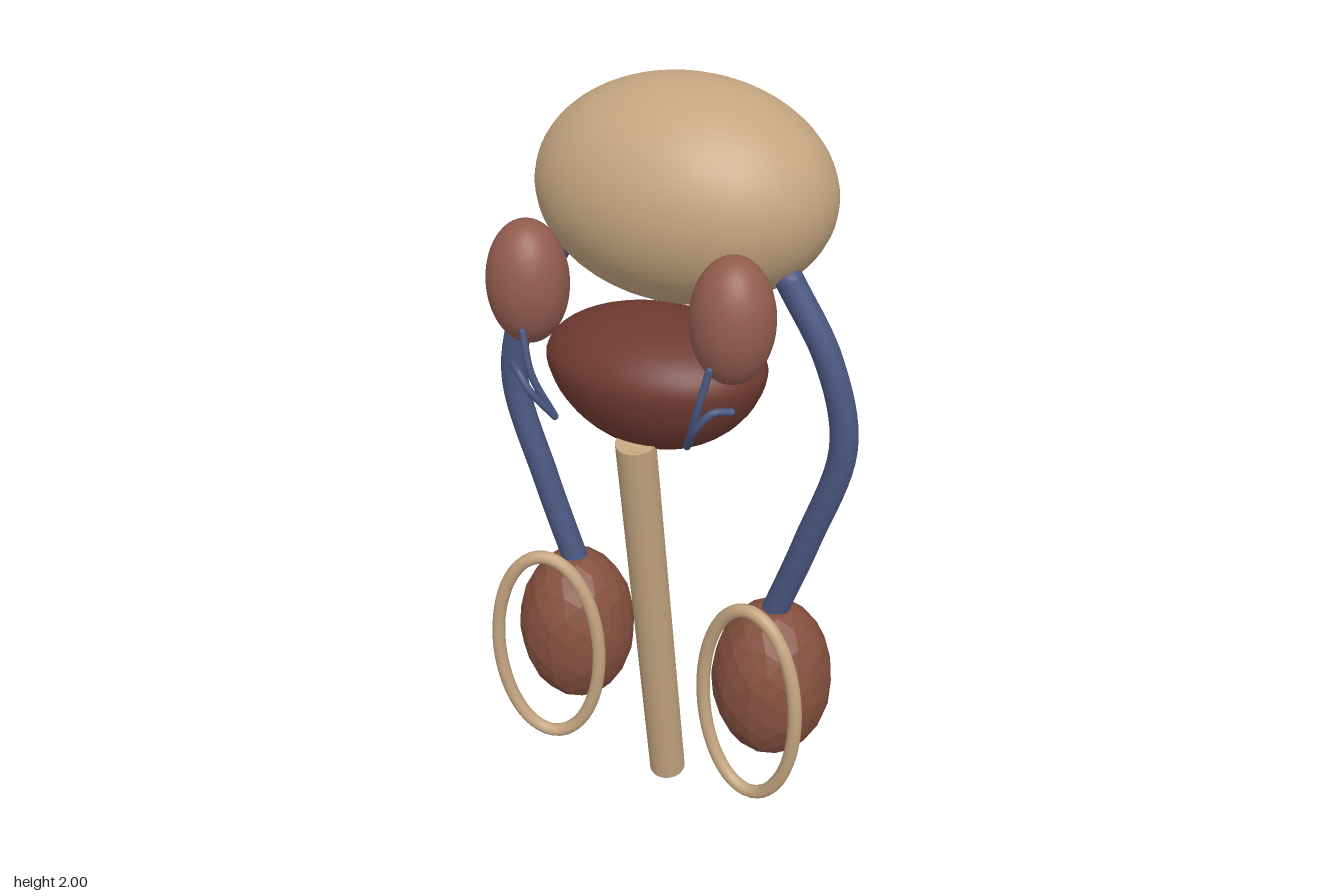
import * as THREE from 'three';

const tan = new THREE.MeshStandardMaterial({ color: 0xc4a580 });
const darkRed = new THREE.MeshStandardMaterial({ color: 0x6f3a30 });
const brown = new THREE.MeshStandardMaterial({ color: 0x85503f, flatShading: true });
const rose = new THREE.MeshStandardMaterial({ color: 0x935c4f });
const blue = new THREE.MeshStandardMaterial({ color: 0x4a5680 });

function add(parent, name, geometry, material, x = 0, y = 0, z = 0) {
  const mesh = new THREE.Mesh(geometry, material);
  mesh.name = name;
  mesh.position.set(x, y, z);
  parent.add(mesh);
  return mesh;
}

const ellipsoid = (rx, ry, rz) => new THREE.SphereGeometry(1, 48, 32).scale(rx, ry, rz);

// Tube through points, closed by a ball at each end
function duct(parent, name, points, radius) {
  const group = new THREE.Group();
  group.name = name;
  const path = new THREE.CatmullRomCurve3(points.map(p => new THREE.Vector3(...p)));
  add(group, name + 'Tube', new THREE.TubeGeometry(path, 32, radius, 14), blue);
  for (const p of [points[0], points[points.length - 1]]) {
    add(group, name + 'End', new THREE.SphereGeometry(radius, 14, 10), blue, ...p);
  }
  parent.add(group);
}

// Faceted, slightly uneven oval
function facetedOval(rx, ry, rz) {
  const g = new THREE.IcosahedronGeometry(1, 3);
  const p = g.attributes.position;
  const v = new THREE.Vector3();
  for (let i = 0; i < p.count; i++) {
    v.fromBufferAttribute(p, i);
    const bump = 1 + 0.012 * Math.sin(9 * v.x + 4 * v.y) * Math.cos(8 * v.z - 5 * v.y);
    p.setXYZ(i, v.x * rx * bump, v.y * ry * bump, v.z * rz * bump);
  }
  g.computeVertexNormals();
  return g;
}

// Oval with a shallow top and a deeper, tapering underside
function taperedGland() {
  const g = new THREE.SphereGeometry(1, 40, 28);
  const p = g.attributes.position;
  for (let i = 0; i < p.count; i++) {
    const y = p.getY(i);
    const low = Math.max(0, -y);
    const taper = 1 - 0.1 * low;
    p.setXYZ(i, p.getX(i) * 0.28 * taper, y * (y > 0 ? 0.125 : 0.22), p.getZ(i) * 0.205 * taper);
  }
  g.computeVertexNormals();
  return g;
}

// Cylinder between two points
function rod(parent, name, a, b, radius, material) {
  const start = new THREE.Vector3(...a), end = new THREE.Vector3(...b);
  const dir = end.clone().sub(start);
  const mesh = add(parent, name, new THREE.CylinderGeometry(radius, radius, dir.length(), 32), material);
  mesh.position.copy(start).lerp(end, 0.5);
  mesh.quaternion.setFromUnitVectors(new THREE.Vector3(0, 1, 0), dir.normalize());
}

export function createModel() {
  const model = new THREE.Group();
  model.name = 'organModel';

  // Central organs
  add(model, 'bladder', ellipsoid(0.375, 0.27, 0.282), tan, 0, 1.73, -0.073);
  add(model, 'centralGland', taperedGland(), darkRed, 0, 1.35, 0.095);
  rod(model, 'centralDuct', [0, 0.01, 0.035], [0, 1.185, 0.215], 0.05, tan);

  // Paired organs
  for (const s of [1, -1]) {
    const side = new THREE.Group();
    side.name = s > 0 ? 'leftSide' : 'rightSide';
    const m = points => points.map(([x, y, z]) => [s * x, y, z]);

    add(side, 'lowerGland', facetedOval(0.162, 0.238, 0.162), brown, s * 0.295, 0.412, 0.002);
    add(side, 'upperGland', ellipsoid(0.098, 0.152, 0.097), rose, s * 0.257, 1.573, 0.245);

    // Upright oval ring, turned slightly outwards
    const oval = new THREE.CatmullRomCurve3(Array.from({ length: 24 }, (_, i) => {
      const a = i / 24 * Math.PI * 2;
      return new THREE.Vector3(0.143 * Math.cos(a), 0.297 * Math.sin(a), 0);
    }), true);
    const ring = add(side, 'ovalRing', new THREE.TubeGeometry(oval, 72, 0.018, 12, true), tan, s * 0.295, 0.442, 0.172);
    ring.rotation.y = -s * 0.2;

    duct(side, 'longDuct', m([[0.285, 0.6, 0], [0.375, 0.87, 0], [0.455, 1.17, 0], [0.405, 1.39, 0], [0.3, 1.575, 0]]), 0.035);
    duct(side, 'vesselStem', m([[0.235, 1.48, 0.32], [0.212, 1.38, 0.33], [0.172, 1.26, 0.298]]), 0.009);
    duct(side, 'vesselBranch', m([[0.172, 1.26, 0.298], [0.215, 1.34, 0.338], [0.248, 1.38, 0.33], [0.28, 1.375, 0.298]]), 0.009);
    model.add(side);
  }
  return model;
}
